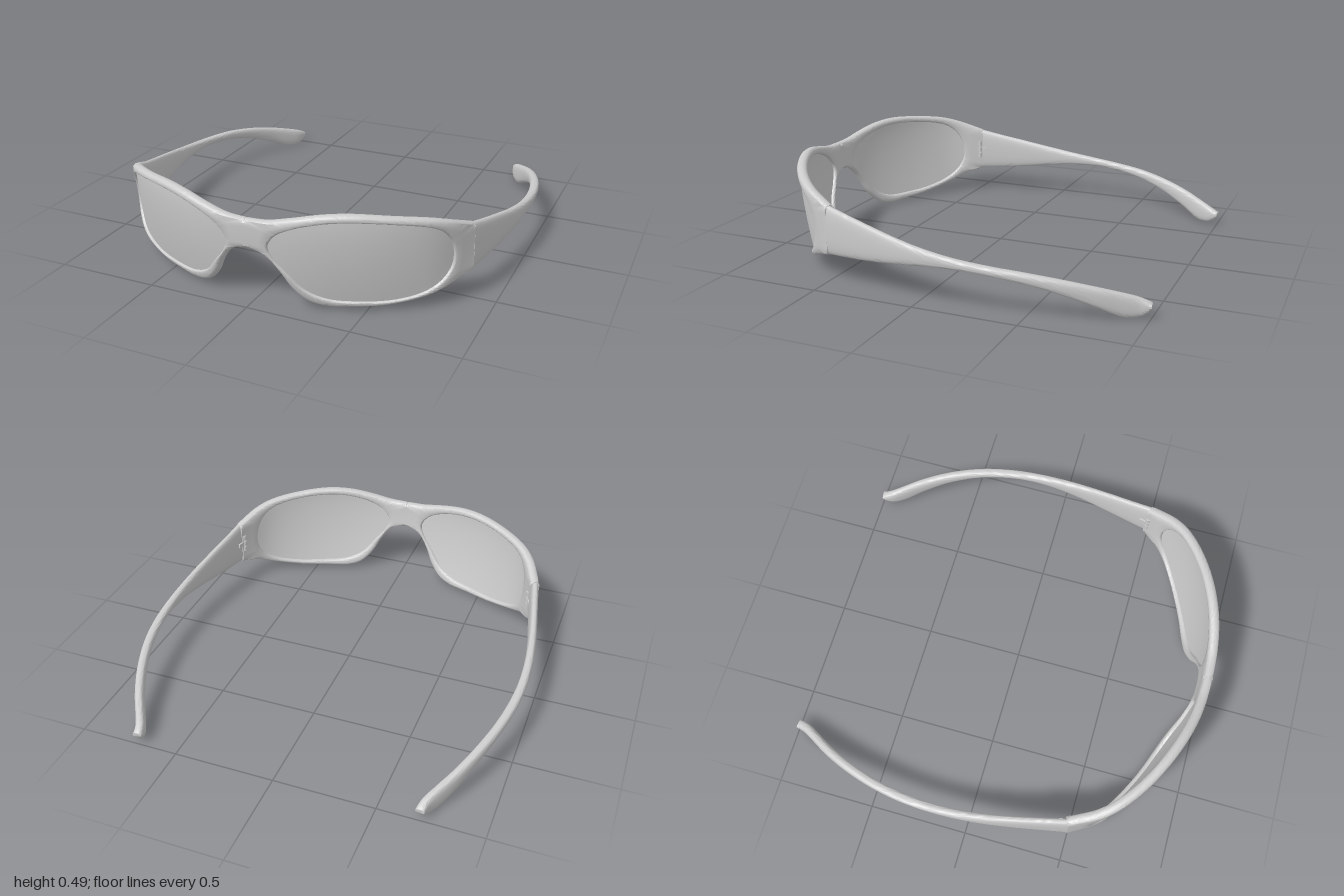
import * as THREE from 'three';
import { mergeGeometries, mergeVertices, toCreasedNormals } from 'three/addons/utils/BufferGeometryUtils.js';

const V = (x, y, z = 0) => new THREE.Vector3(x, y, z);
const material = new THREE.MeshStandardMaterial({ color: 0xcccccc });
const spline = (pts, n, closed = false) =>
  new THREE.CatmullRomCurve3(pts.map(p => V(...p)), closed).getSpacedPoints(n);

// Skin a grid of points; rows and columns may wrap
function skin(rows, wrapRows, wrapCols) {
  const n = rows[0].length, m = rows.length, index = [];
  for (let i = 0; i < (wrapRows ? m : m - 1); i++)
    for (let j = 0; j < (wrapCols ? n : n - 1); j++) {
      const k = (i + 1) % m, l = (j + 1) % n;
      const a = i * n + j, b = k * n + j, c = k * n + l, d = i * n + l;
      index.push(a, b, d, b, c, d);
    }
  const g = new THREE.BufferGeometry();
  g.setAttribute('position', new THREE.Float32BufferAttribute(rows.flat().flatMap(p => p.toArray()), 3));
  g.setIndex(index);
  return g;
}

function mirrored(g) {
  const h = g.clone().scale(-1, 1, 1), ix = h.index.array;
  for (let i = 0; i < ix.length; i += 3) [ix[i], ix[i + 1]] = [ix[i + 1], ix[i]];
  return h;
}

const smooth = (g, angle = 0.75) => toCreasedNormals(mergeVertices(g, 1e-4), angle);

function addMesh(parent, name, geometry) {
  const mesh = new THREE.Mesh(geometry, material);
  mesh.name = name;
  parent.add(mesh);
}

// Wraparound curve of the face, seen from above
const END = 1.07, THICK = 0.05;
const half = [[0.2, 0.983], [0.4, 0.927], [0.6, 0.832], [0.75, 0.72], [0.82, 0.635], [0.862, 0.55], [0.885, 0.495]];
const wrapCurve = new THREE.CatmullRomCurve3([
  ...half.slice().reverse().map(([x, z]) => V(-x, 0, z)), V(0, 0, 1), ...half.map(([x, z]) => V(x, 0, z))]);
wrapCurve.arcLengthDivisions = 800;

// Place a flat point (distance along the wrap, height) on the face; the lower part leans back
function wrap(p, depth) {
  const u = Math.min(1, 0.5 + 0.5 * p.x / END);
  const c = wrapCurve.getPointAt(u), t = wrapCurve.getTangentAt(u);
  const lean = 0.07 * Math.max(0, (0.43 - p.y) / 0.4) ** 1.6 * (1 - Math.min(1, p.x / END) ** 4);
  const d = depth + lean;
  return V(c.x + t.z * d, p.y, c.z - t.x * d);
}

// Flat outlines of one half of the front
const topEdge = spline([[0, 0.43], [0.1, 0.435], [0.2, 0.455], [0.34, 0.482], [0.47, 0.49], [0.65, 0.475],
  [0.82, 0.45], [0.93, 0.42], [END, 0.37]], 80);
const bottomEdge = spline([[END, 0.13], [0.98, 0.107], [0.85, 0.062], [0.65, 0.022], [0.48, 0.013], [0.36, 0.012],
  [0.27, 0.037], [0.2, 0.1], [0.15, 0.18], [0.105, 0.24], [0.06, 0.273], [0, 0.285]], 120);
const lensEdge = spline([[0.102, 0.31], [0.14, 0.37], [0.22, 0.413], [0.35, 0.446], [0.46, 0.455], [0.63, 0.445],
  [0.81, 0.412], [0.89, 0.37], [0.945, 0.29], [0.95, 0.2], [0.9, 0.13], [0.82, 0.085], [0.68, 0.052],
  [0.51, 0.045], [0.36, 0.056], [0.26, 0.1], [0.185, 0.18], [0.125, 0.25]], 200, true);
const between = (a, b, n) => Array.from({ length: n - 1 }, (_, i) => a.clone().lerp(b, (i + 1) / n));
const outline = [...topEdge, ...between(topEdge.at(-1), bottomEdge[0], 14),
  ...bottomEdge, ...between(bottomEdge.at(-1), topEdge[0], 10)];
const centre = V(0.5, 0.25);

// Where the ray from the lens centre towards p crosses the lens outline
function lensPoint(p) {
  const d = p.clone().sub(centre);
  for (let i = 0; i < lensEdge.length - 1; i++) {
    const a = lensEdge[i].clone().sub(centre), e = lensEdge[i + 1].clone().sub(lensEdge[i]);
    const det = d.x * e.y - d.y * e.x;
    if (Math.abs(det) < 1e-12) continue;
    const k = (a.x * e.y - a.y * e.x) / det, s = (a.x * d.y - a.y * d.x) / det;
    if (k > 0 && s >= -1e-6 && s <= 1 + 1e-6) return centre.clone().addScaledVector(d, k);
  }
  return p.clone();
}

const line = new THREE.Line3(), near = V(0, 0);
function edgeDistance(p, edge) {
  let best = 1;
  for (let i = 0; i < edge.length - 1; i++) {
    line.set(edge[i], edge[i + 1]).closestPointToPoint(p, true, near);
    best = Math.min(best, near.distanceTo(p));
  }
  return best;
}
const drop = (d, r, depth) => d >= r ? 0 : depth * (1 - Math.sqrt(1 - (1 - d / r) ** 2));

// Frame: rim band from lens opening to outer outline, rounded towards its edges
function frameHalf() {
  const R = 0.018, r = 0.01, arcs = [0, 0.35, 0.7, 1.05, 1.57].map(a => 1 - Math.cos(a));
  return skin(outline.map(o => {
    const inner = lensPoint(o), len = o.distanceTo(inner);
    const ts = [...arcs.map(a => Math.min(0.6, R * a / len)), 0.62,
      ...arcs.slice().reverse().map(a => 1 - Math.min(0.35, r * a / len))];
    const ring = ts.map(t => {
      const p = o.clone().lerp(inner, t);
      const d = Math.min(edgeDistance(p, topEdge), edgeDistance(p, bottomEdge));
      return [p, Math.max(drop(d, R, THICK / 2), drop(edgeDistance(p, lensEdge), r, 0.012))];
    });
    return [...ring.slice().reverse().map(([p, h]) => wrap(p, h)), ...ring.map(([p, h]) => wrap(p, THICK - h))];
  }), true, true);
}

// Lens: thin curved pane filling the opening
function lensPane() {
  const ts = Array.from({ length: 11 }, (_, i) => i / 10);
  return skin(outline.map(o => {
    const rim = lensPoint(o), pts = ts.map(t => centre.clone().lerp(rim, t));
    return [...pts.map(p => wrap(p, 0.013)), ...pts.slice().reverse().map(p => wrap(p, 0.033))];
  }), true, false);
}

// Temple arm stations: z, centre x, top y, bottom y, thickness
const stations = [
  [0.493, 0.863, 0.368, 0.132, 0.046], [0.37, 0.888, 0.34, 0.139, 0.044], [0.25, 0.912, 0.315, 0.149, 0.043],
  [0.1, 0.938, 0.284, 0.166, 0.043], [-0.05, 0.954, 0.257, 0.183, 0.043], [-0.2, 0.957, 0.236, 0.19, 0.043],
  [-0.35, 0.944, 0.22, 0.181, 0.045], [-0.5, 0.914, 0.204, 0.156, 0.045], [-0.65, 0.865, 0.178, 0.112, 0.046],
  [-0.78, 0.807, 0.146, 0.055, 0.047], [-0.88, 0.75, 0.115, 0.006, 0.047], [-0.94, 0.716, 0.094, 0.003, 0.047],
  [-0.98, 0.703, 0.077, 0.022, 0.046], [-1.0, 0.701, 0.066, 0.045, 0.044]];

function templeArm() {
  const path = f => new THREE.CatmullRomCurve3(stations.map(f), false, 'catmullrom');
  const mid = path(s => V(s[1], (s[2] + s[3]) / 2, s[0]));
  const size = path(s => V(s[4] / 2, (s[2] - s[3]) / 2, 0));
  const N = 70, M = 28, rows = [];
  const pow = (v, e) => Math.sign(v) * Math.abs(v) ** e;
  for (let i = 0; i <= N; i++) {
    const c = mid.getPoint(i / N), h = size.getPoint(i / N), t = mid.getTangent(i / N);
    const out = V(-t.z, 0, t.x).normalize();
    const ring = Array.from({ length: M }, (_, j) => {
      const a = j / M * Math.PI * 2;
      return c.clone().addScaledVector(out, h.x * pow(Math.cos(a), 0.65)).add(V(0, h.y * pow(Math.sin(a), 0.8), 0));
    });
    // closed ends
    if (i === 0) rows.push(ring.map(() => c.clone()));
    rows.push(ring);
    if (i === N) rows.push(ring.map(() => c.clone()));
  }
  return skin(rows, false, true);
}

// Hinge: stacked barrels with two leaves, on the inside of the joint
function hinge() {
  const parts = [];
  for (const y of [0.215, 0.25, 0.285])
    parts.push(new THREE.CylinderGeometry(0.011, 0.011, 0.028, 12).translate(0.834, y, 0.492));
  for (const y of [0.215, 0.285])
    parts.push(new THREE.BoxGeometry(0.02, 0.024, 0.04).rotateY(-0.4).translate(0.834, y, 0.512));
  parts.push(new THREE.BoxGeometry(0.02, 0.024, 0.05).rotateY(-0.2).translate(0.846, 0.25, 0.47));
  return mergeGeometries(parts);
}

export function createModel() {
  const model = new THREE.Group();
  model.name = 'sunglasses';
  const frame = frameHalf(), lens = lensPane(), arm = templeArm(), joint = hinge();
  addMesh(model, 'frame', smooth(mergeGeometries([frame, mirrored(frame)])));
  for (const [side, f] of [['left', g => g], ['right', mirrored]]) {
    addMesh(model, side + 'Lens', smooth(f(lens)));
    addMesh(model, side + 'Temple', smooth(f(arm), 0.9));
    addMesh(model, side + 'Hinge', toCreasedNormals(f(joint), 0.7));
  }
  return model;
}
